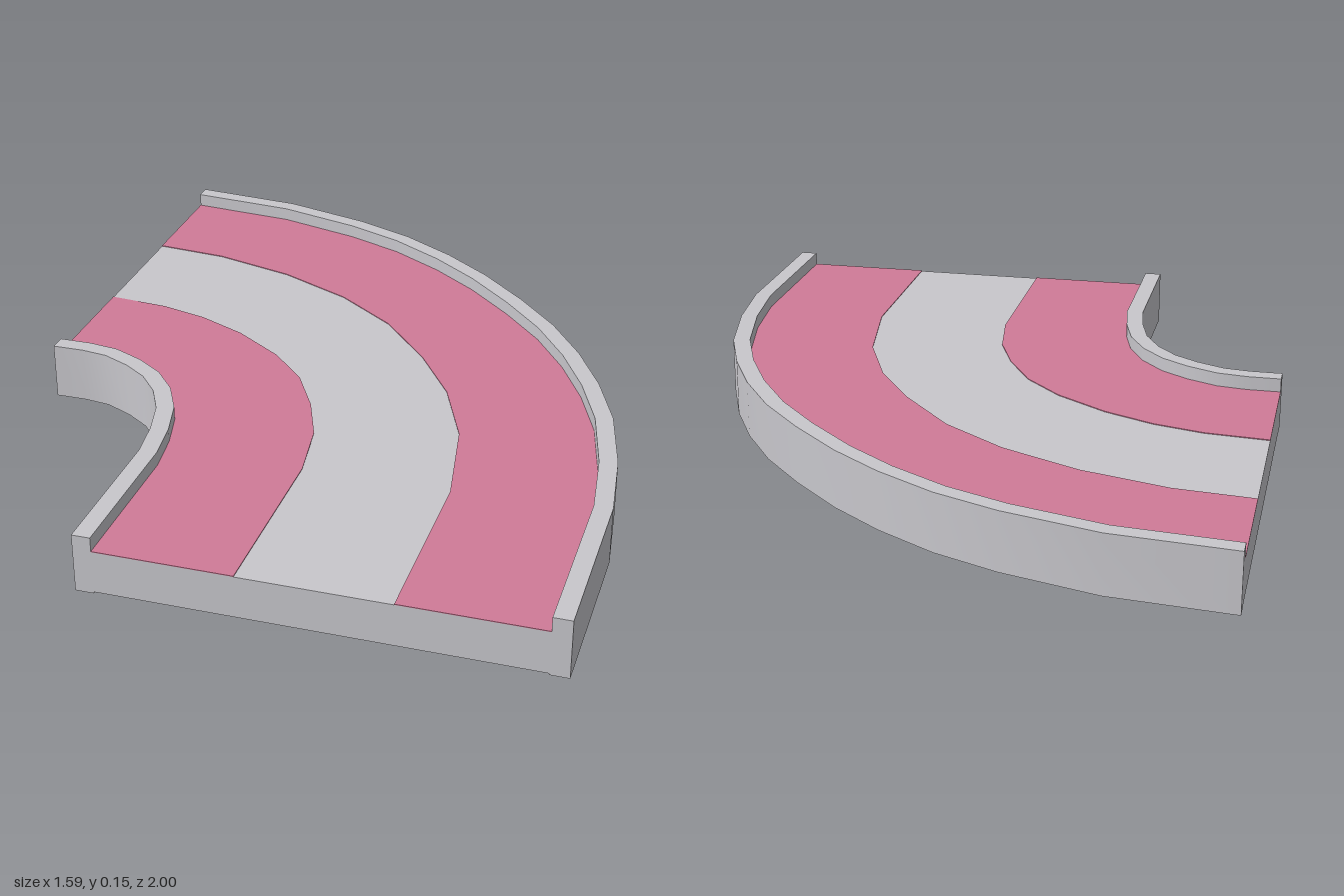
import * as THREE from 'three';
import { toCreasedNormals } from 'three/addons/utils/BufferGeometryUtils.js';

// Plan curves as [x, z], each from the side end (x = -0.8) round to the front end (z = 1)
const outerEdge = [[-0.795, -1], [-0.49, -0.97], [-0.245, -0.9], [-0.08, -0.83], [0.075, -0.735],
  [0.21, -0.63], [0.345, -0.5], [0.465, -0.366], [0.565, -0.22], [0.648, -0.064], [0.716, 0.106],
  [0.766, 0.32], [0.792, 0.53], [0.792, 1]];
const outerStripe = [[-0.795, -0.625], [-0.594, -0.605], [-0.366, -0.54], [-0.16, -0.44], [0.01, -0.312],
  [0.154, -0.143], [0.265, 0.027], [0.35, 0.233], [0.398, 0.51], [0.398, 1]];
const innerStripe = [[-0.795, -0.25], [-0.63, -0.235], [-0.5, -0.2], [-0.366, -0.138], [-0.228, -0.042],
  [-0.127, 0.064], [-0.053, 0.196], [0.0, 0.334], [0.027, 0.51], [0.027, 1]];
const innerEdge = [[-0.795, 0.15], [-0.71, 0.15], [-0.64, 0.16], [-0.565, 0.195], [-0.5, 0.24],
  [-0.445, 0.305], [-0.403, 0.388], [-0.377, 0.49], [-0.362, 0.6], [-0.362, 1]];

// Shift a curve sideways; positive moves toward the inside of the bend
function offset(path, d) {
  return path.map(([x, z], i) => {
    let tx = 1, tz = 0;
    if (i === path.length - 1) [tx, tz] = [0, 1];
    else if (i > 0) {
      tx = path[i + 1][0] - path[i - 1][0];
      tz = path[i + 1][1] - path[i - 1][1];
    }
    const len = Math.hypot(tx, tz);
    return [x - (tz / len) * d, z + (tx / len) * d];
  });
}

// Solid slab between two plan curves, from height y0 to y1
function slab(name, a, b, y0, y1, material) {
  const points = [...a, ...[...b].reverse()].map(([x, z]) => new THREE.Vector2(x, -z));
  const geometry = new THREE.ExtrudeGeometry(new THREE.Shape(points), { depth: y1 - y0, bevelEnabled: false });
  geometry.rotateX(-Math.PI / 2);
  geometry.translate(0, y0, 0);
  const mesh = new THREE.Mesh(toCreasedNormals(geometry, 0.7), material);
  mesh.name = name;
  return mesh;
}

export function createModel() {
  const grey = new THREE.MeshStandardMaterial({ color: 0xc8c7cc });
  grey.name = 'light grey';
  const pink = new THREE.MeshStandardMaterial({ color: 0xd07b98 });
  pink.name = 'pink';

  const wall = 0.046, height = 0.15, floorTop = 0.112;
  const outerInside = offset(outerEdge, wall);
  const innerInside = offset(innerEdge, -wall);

  const group = new THREE.Group();
  group.name = 'curvedTrack';
  group.add(
    // raised rims
    slab('outerWall', outerEdge, outerInside, 0, height, grey),
    slab('innerWall', innerEdge, innerInside, 0, height, grey),
    // track bed, tucked into the rims
    slab('trackBed', offset(outerEdge, 0.03), offset(innerEdge, -0.03), 0.004, floorTop, grey),
    // painted lanes
    slab('outerLane', outerInside, outerStripe, floorTop, floorTop + 0.002, pink),
    slab('innerLane', innerStripe, innerInside, floorTop, floorTop + 0.002, pink),
  );
  return group;
}
